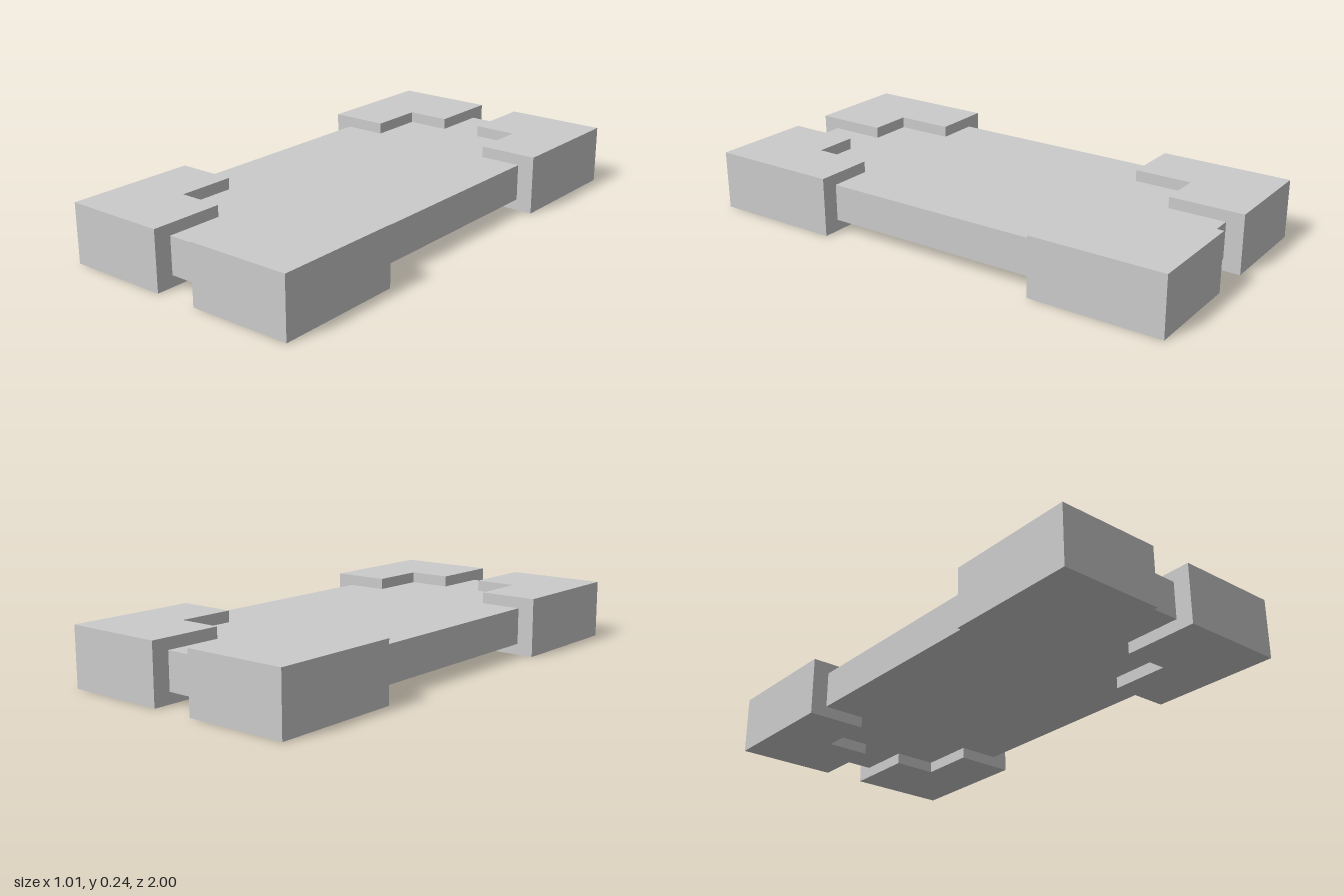
import * as THREE from 'three';

const HEIGHT = 0.237;

// L-shaped corner outline in plan (x, z), for the +x +z corner
const OUTLINE = [
  [0.087, 0.70], [0.265, 0.70], [0.265, 0.467],
  [0.505, 0.467], [0.505, 1], [0.087, 1],
];

function cornerGeometry(sx, sz) {
  const shape = new THREE.Shape(OUTLINE.map(([x, z]) => new THREE.Vector2(x * sx, z * sz)));
  const geometry = new THREE.ExtrudeGeometry(shape, { depth: HEIGHT, bevelEnabled: false });
  geometry.rotateX(Math.PI / 2); // plan y becomes z, depth runs down
  geometry.translate(0, HEIGHT, 0);
  return geometry;
}

export function createModel() {
  const group = new THREE.Group();
  group.name = 'plateWithCorners';
  const material = new THREE.MeshStandardMaterial({ color: 0xcccccc, flatShading: true });

  // Central slab, held clear of the ground
  const slab = new THREE.Mesh(new THREE.BoxGeometry(0.874, 0.147, 1.86), material);
  slab.name = 'slab';
  slab.position.y = 0.1185;
  group.add(slab);

  // Four mirrored corner blocks, thicker than the slab
  for (const sx of [1, -1]) {
    for (const sz of [1, -1]) {
      const corner = new THREE.Mesh(cornerGeometry(sx, sz), material);
      corner.name = (sz > 0 ? 'front' : 'back') + (sx > 0 ? 'Left' : 'Right') + 'Corner';
      group.add(corner);
    }
  }
  return group;
}
